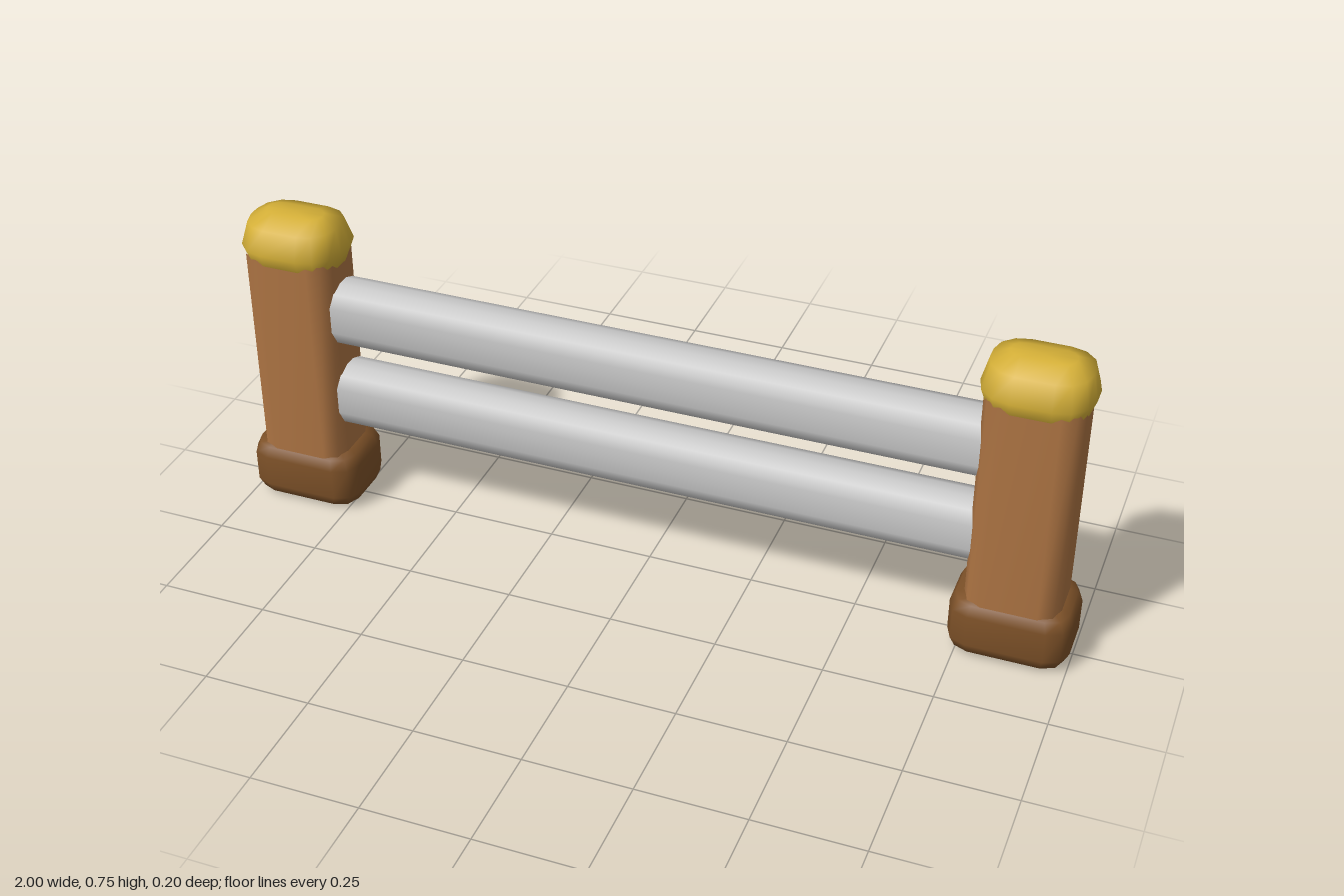
import * as THREE from 'three';

const mat = (name, color) => {
  const m = new THREE.MeshStandardMaterial({ color });
  m.name = name;
  return m;
};

// Smooth upright loft through rounded-rectangle rings: [y, halfX, halfZ, cornerRadius]
function loft(rings, closed, segs = 2) {
  const pos = [], idx = [];
  const n = 4 * (segs + 1);
  for (const [y, hx, hz, r] of rings) {
    for (let c = 0; c < 4; c++) {
      const sx = c === 0 || c === 3 ? 1 : -1;
      const sz = c < 2 ? 1 : -1;
      for (let s = 0; s <= segs; s++) {
        const a = (c + s / segs) * Math.PI / 2;
        pos.push(sx * (hx - r) + r * Math.cos(a), y, sz * (hz - r) + r * Math.sin(a));
      }
    }
  }
  for (let k = 0; k < rings.length - 1; k++) {
    for (let i = 0; i < n; i++) {
      const a = k * n + i, b = k * n + (i + 1) % n;
      idx.push(a, a + n, b, b, a + n, b + n);
    }
  }
  if (closed) {
    const top = (rings.length - 1) * n, bottomMid = pos.length / 3;
    pos.push(0, rings[0][0], 0, 0, rings[rings.length - 1][0], 0);
    for (let i = 0; i < n; i++) {
      const j = (i + 1) % n;
      idx.push(bottomMid, i, j, bottomMid + 1, top + j, top + i);
    }
  }
  const g = new THREE.BufferGeometry();
  g.setAttribute('position', new THREE.Float32BufferAttribute(pos, 3));
  g.setIndex(idx);
  g.computeVertexNormals();
  return g;
}

export function createModel() {
  const group = new THREE.Group();
  group.name = 'fence';
  const wood = mat('post brown', 0xad7443);
  const darkWood = mat('base brown', 0x7d5128);
  const gold = mat('cap gold', 0xd4af37);
  const silver = mat('rail silver', 0xc8c8c8);

  const add = (parent, name, geometry, material) => {
    const mesh = new THREE.Mesh(geometry, material);
    mesh.name = name;
    parent.add(mesh);
    return mesh;
  };

  // Bevelled foot block
  const baseGeo = loft([
    [0, 0.1, 0.063, 0.03], [0.012, 0.126, 0.09, 0.045], [0.037, 0.137, 0.1, 0.05],
    [0.113, 0.137, 0.1, 0.05], [0.138, 0.126, 0.09, 0.045], [0.15, 0.1, 0.063, 0.03],
  ], true);
  // Straight shaft, ends buried in base and cap
  const postGeo = loft([[0.1, 0.108, 0.088, 0.045], [0.66, 0.108, 0.088, 0.045]], false);
  // Domed cap
  const capGeo = loft([
    [0.622, 0.104, 0.08, 0.06], [0.675, 0.122, 0.1, 0.078],
    [0.73, 0.108, 0.08, 0.066], [0.75, 0.07, 0.028, 0.026],
  ], true, 3);

  for (const side of [1, -1]) {
    const post = new THREE.Group();
    post.name = side > 0 ? 'leftPost' : 'rightPost';
    post.position.x = side * 0.863;
    add(post, 'base', baseGeo, darkWood);
    add(post, 'shaft', postGeo, wood);
    add(post, 'cap', capGeo, gold);
    group.add(post);
  }

  // Two horizontal rails running into the posts
  const railGeo = loft([[-0.8, 0.077, 0.06, 0.045], [0.8, 0.077, 0.06, 0.045]], false);
  railGeo.rotateZ(-Math.PI / 2);
  [['lowerRail', 0.295], ['upperRail', 0.514]].forEach(([name, y]) => {
    add(group, name, railGeo, silver).position.y = y;
  });

  return group;
}
